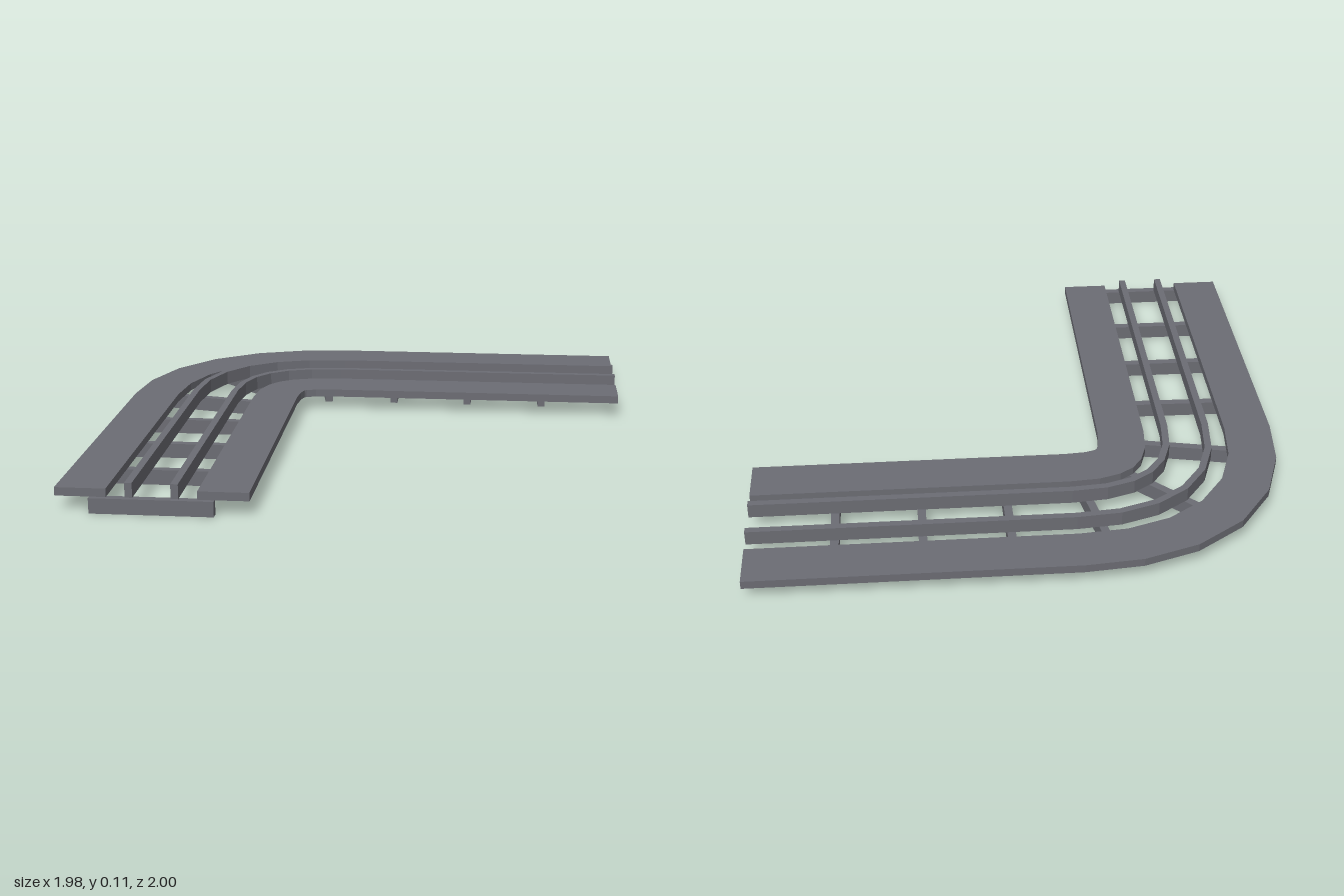
import * as THREE from 'three';

const CX = -0.655, CZ = -0.665; // centre lines of the two straight arms

// Track centre line in (x, z): straight arm, six-step bend, straight arm
function centreLine() {
  const bend = new THREE.CubicBezierCurve(
    new THREE.Vector2(CX, -0.2), new THREE.Vector2(CX, -0.51),
    new THREE.Vector2(-0.49, CZ), new THREE.Vector2(-0.18, CZ));
  const stations = [{ p: new THREE.Vector2(CX, 0.983), t: new THREE.Vector2(0, -1) }];
  for (let i = 0; i <= 6; i++) stations.push({ p: bend.getPoint(i / 6), t: bend.getTangent(i / 6) });
  stations.push({ p: new THREE.Vector2(0.987, CZ), t: new THREE.Vector2(1, 0) });
  return stations;
}

// Strip following the centre line between two sideways offsets (positive = outside of the bend)
function strip(stations, inner, outer, y0, y1) {
  const edge = (d) => stations.map(({ p, t }) => new THREE.Vector2(p.x + t.y * d, -(p.y - t.x * d)));
  const shape = new THREE.Shape([...edge(outer), ...edge(inner).reverse()]);
  const geo = new THREE.ExtrudeGeometry(shape, { depth: y1 - y0, bevelEnabled: false });
  return geo.rotateX(-Math.PI / 2).translate(0, y0, 0);
}

export function createModel() {
  const group = new THREE.Group();
  const grey = new THREE.MeshStandardMaterial({ color: 0x6c6d74 });
  grey.name = 'slate grey';
  const add = (name, geo) => {
    const mesh = new THREE.Mesh(geo, grey);
    mesh.name = name;
    group.add(mesh);
    return mesh;
  };
  const line = centreLine();

  // Flat walkways either side of the track
  add('outerWalkway', strip(line, 0.157, 0.335, 0.055, 0.085));
  add('innerWalkway', strip(line, -0.335, -0.157, 0.055, 0.085));

  // Pair of rails
  add('outerRail', strip(line, 0.066, 0.092, 0.055, 0.108));
  add('innerRail', strip(line, -0.092, -0.066, 0.055, 0.108));

  // Sleepers: x, z, turn about y
  const sleepers = [
    [CX, 0.985, 0], [CX, 0.67, 0], [CX, 0.36, 0], [CX, 0.047, -0.015],
    [-0.649, -0.265, -0.204], [-0.533, -0.547, -Math.PI / 4], [-0.257, -0.658, -1.383],
    [0.055, CZ, -1.556], [0.367, CZ, -Math.PI / 2], [0.677, CZ, -Math.PI / 2],
  ];
  const sleeperGeo = new THREE.BoxGeometry(0.43, 0.055, 0.03);
  for (const [x, z, turn] of sleepers) {
    const sleeper = add('sleeper', sleeperGeo);
    sleeper.position.set(x, 0.0275, z);
    sleeper.rotation.y = turn;
  }
  return group;
}
